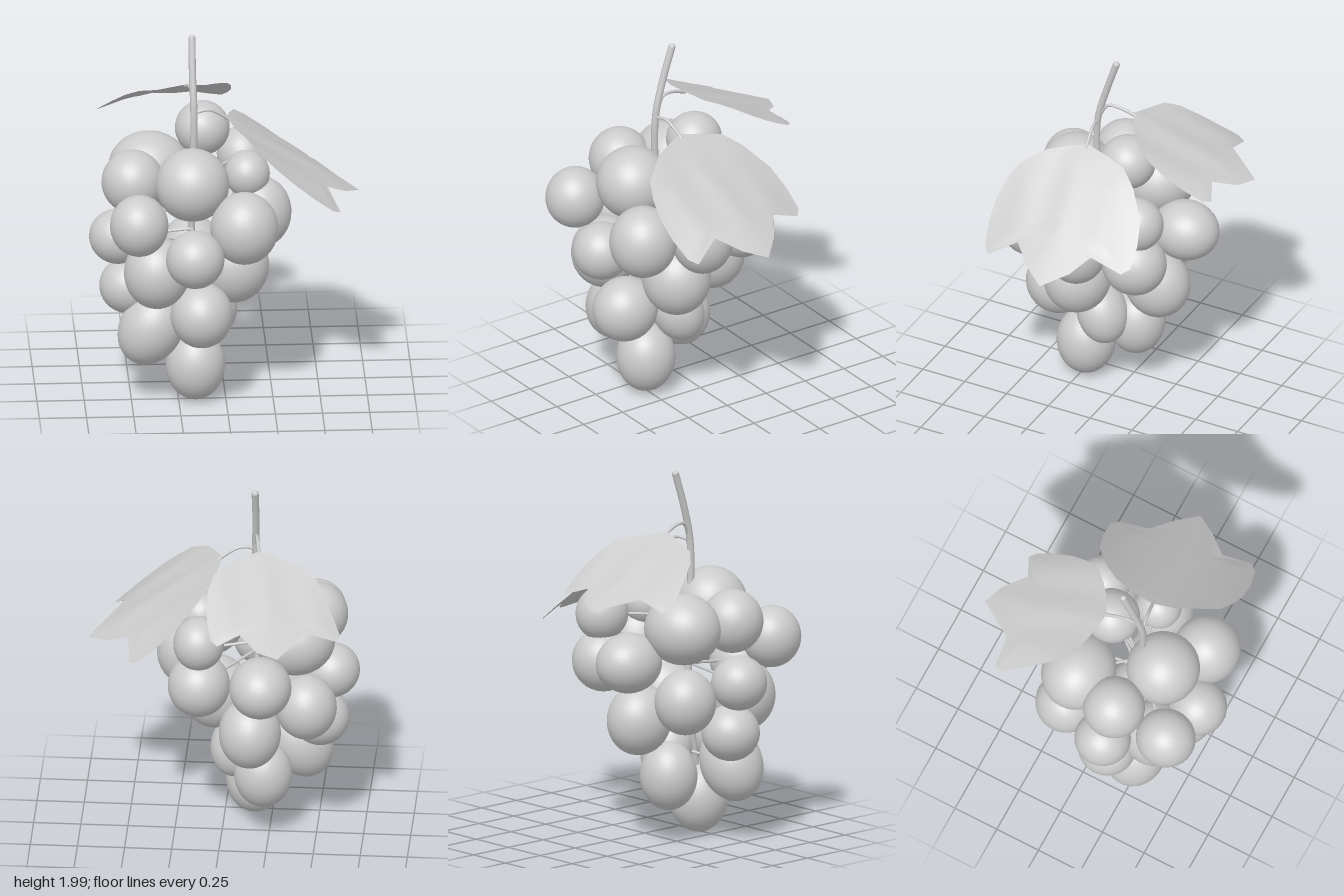
import * as THREE from 'three';

const grey = new THREE.MeshStandardMaterial({ color: 0xcccccc });
const greyThin = new THREE.MeshStandardMaterial({ color: 0xcccccc, side: THREE.DoubleSide });
const vec = (p) => new THREE.Vector3(...p);

// Grapes: centre x, y, z, radii x, y, z, then optional tilt about x and z
const GRAPES = [
  // crown
  [-0.11, 1.435, -0.035, 0.145, 0.145, 0.15],
  [-0.18, 1.245, 0.31, 0.195, 0.195, 0.195],
  [0.11, 1.22, -0.205, 0.135, 0.145, 0.145],
  [0.12, 1.23, 0.12, 0.12, 0.125, 0.125],
  [-0.49, 1.22, 0.18, 0.165, 0.17, 0.165],
  [-0.39, 1.2, -0.085, 0.215, 0.19, 0.195],
  // widest tier
  [-0.47, 1.085, 0.48, 0.155, 0.165, 0.16],
  [0.09, 1.04, 0.43, 0.18, 0.195, 0.18],
  [0.185, 1.01, 0.115, 0.17, 0.195, 0.165],
  [0.11, 0.965, -0.19, 0.165, 0.17, 0.175],
  [-0.225, 1.025, -0.32, 0.165, 0.16, 0.185],
  [-0.57, 0.9, 0.155, 0.15, 0.145, 0.15, 0, -0.4],
  [-0.175, 0.9, 0.515, 0.155, 0.155, 0.155],
  // middle tier
  [-0.37, 0.77, 0.36, 0.175, 0.195, 0.18],
  [0.045, 0.735, 0.185, 0.188, 0.2, 0.18],
  [-0.16, 0.685, -0.185, 0.165, 0.19, 0.178, 0.25, 0],
  [-0.455, 0.82, -0.125, 0.162, 0.175, 0.165],
  [-0.51, 0.62, 0.15, 0.155, 0.15, 0.155],
  // lower tier and tip
  [-0.135, 0.535, 0.39, 0.165, 0.175, 0.178],
  [-0.395, 0.42, 0.26, 0.168, 0.21, 0.165, 0, -0.5],
  [-0.07, 0.465, 0.095, 0.138, 0.17, 0.135, 0.35, 0.15],
  [-0.22, 0.365, -0.03, 0.155, 0.185, 0.152],
  [-0.16, 0.198, 0.24, 0.157, 0.19, 0.157],
];

// Leaf outlines as x, z pairs; height falls along the spine and the sides droop towards the tip
const LEAVES = [
  {
    name: 'leftLeaf', base: [0.02, 0.14], tip: [0.715, 0.055], top: 1.555, slope: 0.66, droop: 1.1,
    stalk: [[-0.165, 1.6, 0.175], [-0.08, 1.61, 0.16], [0.03, 1.545, 0.14]],
    outline: [[0.01, 0.14], [0.03, 0], [0.06, -0.1], [0.12, -0.19], [0.23, -0.29], [0.33, -0.325],
      [0.43, -0.335], [0.47, -0.3], [0.49, -0.13], [0.6, -0.06], [0.715, 0.055], [0.64, 0.17],
      [0.54, 0.28], [0.6, 0.425], [0.56, 0.465], [0.46, 0.495], [0.35, 0.505], [0.27, 0.49],
      [0.19, 0.455], [0.1, 0.34], [0.05, 0.25]],
  },
  {
    name: 'backLeaf', base: [-0.2, -0.02], tip: [-0.34, -0.675], top: 1.68, slope: 0.45, droop: 0.95,
    stalk: [[-0.165, 1.63, 0.165], [-0.175, 1.705, 0.12], [-0.185, 1.705, 0.05], [-0.2, 1.67, -0.04]],
    outline: [[-0.2, -0.02], [-0.25, -0.03], [-0.35, -0.05], [-0.44, -0.08], [-0.51, -0.14],
      [-0.575, -0.25], [-0.63, -0.36], [-0.655, -0.41], [-0.635, -0.455], [-0.48, -0.47],
      [-0.34, -0.675], [-0.23, -0.63], [-0.13, -0.53], [-0.015, -0.585], [0.02, -0.55],
      [0.045, -0.46], [0.06, -0.365], [0.055, -0.27], [0.03, -0.19], [-0.03, -0.13], [-0.09, -0.08]],
  },
];

function tube(name, points, radius, segments = 12) {
  const curve = new THREE.CatmullRomCurve3(points.map(vec));
  const mesh = new THREE.Mesh(new THREE.TubeGeometry(curve, segments, radius, 8), grey);
  mesh.name = name;
  return mesh;
}

// Concentric rings shrink the outline to its middle, then every point is lifted onto the curved leaf
function leafBlade({ name, base, tip, top, slope, droop, outline }) {
  const from = new THREE.Vector2(...base);
  const axis = new THREE.Vector2(...tip).sub(from).normalize();
  const middle = from.clone().addScaledVector(axis, 0.34);
  const rings = 7, n = outline.length;
  const pos = [], index = [];
  const addPoint = (x, z) => {
    const d = new THREE.Vector2(x, z).sub(from);
    const along = Math.max(d.dot(axis), 0), side = d.cross(axis);
    const ridge = 0.006 * Math.cos(side * 26);
    pos.push(x, top - slope * along - droop * along * side * side + ridge, z);
  };
  addPoint(middle.x, middle.y);
  for (let r = 1; r <= rings; r++) {
    for (const [x, z] of outline) {
      const t = r / rings;
      addPoint(middle.x + (x - middle.x) * t, middle.y + (z - middle.y) * t);
    }
  }
  // Both outlines run so that this winding faces upward or is flipped below
  for (let i = 0; i < n; i++) {
    const j = (i + 1) % n;
    index.push(0, 1 + j, 1 + i);
    for (let r = 0; r < rings - 1; r++) {
      const a = 1 + r * n + i, b = 1 + r * n + j;
      index.push(a, b + n, a + n, a, b, b + n);
    }
  }
  const area = outline.reduce((s, [x, z], i) => {
    const [x2, z2] = outline[(i + 1) % n];
    return s + x * z2 - x2 * z;
  }, 0);
  if (area < 0) index.reverse();
  const geometry = new THREE.BufferGeometry();
  geometry.setAttribute('position', new THREE.Float32BufferAttribute(pos, 3));
  geometry.setIndex(index);
  geometry.computeVertexNormals();
  const mesh = new THREE.Mesh(geometry, greyThin);
  mesh.name = name;
  return mesh;
}

export function createModel() {
  const model = new THREE.Group();
  model.name = 'grapeBunch';

  // Main stem running down through the bunch, with a rounded cut end
  model.add(tube('mainStem', [[-0.17, 1.985, 0.065], [-0.17, 1.8, 0.125], [-0.165, 1.6, 0.175],
    [-0.17, 1.2, 0.17], [-0.18, 0.8, 0.15], [-0.17, 0.3, 0.22]], 0.019, 32));
  const end = new THREE.Mesh(new THREE.SphereGeometry(0.019, 10, 8), grey);
  end.name = 'stemEnd';
  end.position.set(-0.17, 1.982, 0.065);
  model.add(end);

  // Grapes, each on a short stalk from the main stem
  const grapes = new THREE.Group();
  grapes.name = 'grapes';
  const stalks = new THREE.Group();
  stalks.name = 'grapeStalks';
  const ball = new THREE.SphereGeometry(1, 32, 20);
  for (const [x, y, z, rx, ry, rz, tiltX = 0, tiltZ = 0] of GRAPES) {
    const grape = new THREE.Mesh(ball, grey);
    grape.name = 'grape';
    grape.position.set(x, y, z);
    grape.scale.set(rx, ry, rz);
    grape.rotation.set(tiltX, 0, tiltZ);
    grapes.add(grape);
    const joint = [-0.175, Math.min(y + 0.04, 1.2), 0.165];
    stalks.add(tube('grapeStalk', [joint, [x, y, z]], 0.008, 2));
  }
  model.add(grapes, stalks);

  // Leaves and their stalks
  for (const leaf of LEAVES) {
    model.add(leafBlade(leaf), tube(leaf.name + 'Stalk', leaf.stalk, 0.009));
  }
  return model;
}
